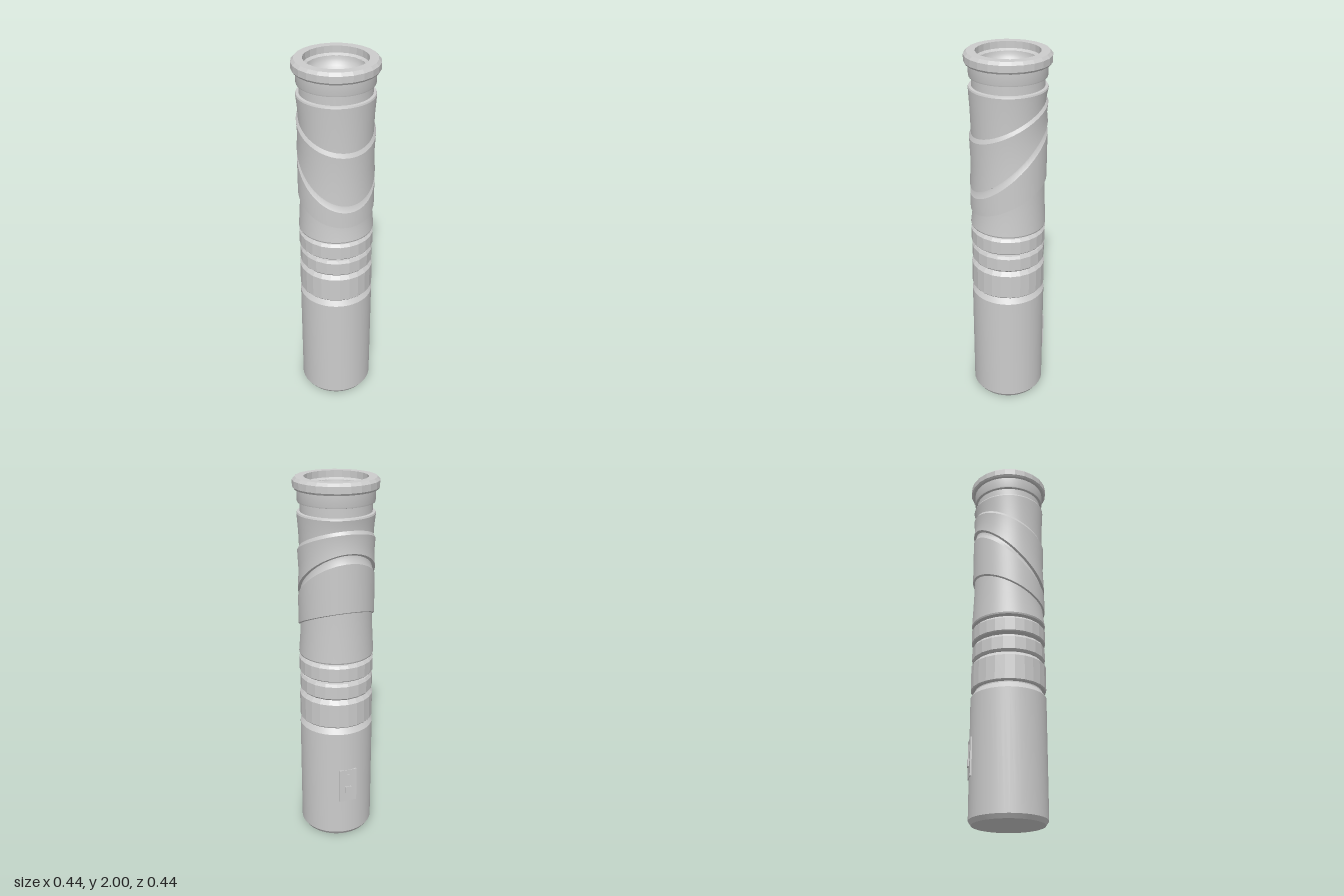
import * as THREE from 'three';
import { toCreasedNormals } from 'three/addons/utils/BufferGeometryUtils.js';

const smoothMat = new THREE.MeshStandardMaterial({ color: 0xcccccc });
const flatMat = new THREE.MeshStandardMaterial({ color: 0xcccccc, flatShading: true });

export function createModel() {
  const model = new THREE.Group();
  model.name = 'hilt';

  function add(name, geometry, material = smoothMat) {
    const mesh = new THREE.Mesh(geometry, material);
    mesh.name = name;
    model.add(mesh);
    return mesh;
  }

  // Turned part from [radius, height] pairs, bottom to top on the outside
  function turned(name, profile, sides = 48, faceted = false) {
    const lathe = new THREE.LatheGeometry(profile.map(([r, y]) => new THREE.Vector2(r, y)), sides);
    add(name, faceted ? lathe : toCreasedNormals(lathe, 0.4), faceted ? flatMat : smoothMat);
  }

  // Turned part whose rows are tilted: [radius, height at front, height at back]
  function tilted(name, rows, sides = 64) {
    const points = rows.map(([r, front, back]) => new THREE.Vector2(r, (front + back) / 2));
    const geometry = new THREE.LatheGeometry(points, sides);
    const pos = geometry.attributes.position;
    for (let i = 0; i < pos.count; i++) {
      const [r, front, back] = rows[i % rows.length];
      pos.setY(i, pos.getY(i) + (pos.getZ(i) / r) * (front - back) / 2);
    }
    add(name, toCreasedNormals(geometry, 0.4));
  }

  // Lower half: plain handle with chamfered ends
  turned('handle', [
    [0, 0], [0.185, 0], [0.2, 0.022], [0.2, 0.655], [0.178, 0.688], [0.178, 0.7],
  ]);

  // Stack of rings separated by narrow grooves
  turned('lowerRing', [
    [0.17, 0.694], [0.195, 0.694], [0.2, 0.7], [0.2, 0.832], [0.18, 0.856], [0.145, 0.86],
  ], 24, true);
  turned('middleRing', [
    [0.145, 0.858], [0.188, 0.858], [0.197, 0.868], [0.197, 0.936], [0.188, 0.951], [0.145, 0.954],
  ], 20, true);
  turned('upperRing', [
    [0.145, 0.966], [0.195, 0.966], [0.2, 0.972], [0.2, 1.042], [0.188, 1.056], [0.145, 1.068],
  ], 24, true);
  turned('core', [[0.146, 0.84], [0.146, 1.08]]);

  // Sculpted grip: overlapping sleeves with slanted edges
  tilted('grip', [
    [0.145, 1.068, 1.068], [0.197, 1.068, 1.068], [0.2, 1.076, 1.076],
    [0.192, 1.13, 1.25], [0.19, 1.16, 1.345],
    [0.2, 1.162, 1.352], [0.2, 1.25, 1.605],
    [0.188, 1.275, 1.63], [0.186, 1.288, 1.645],
    [0.2, 1.29, 1.655], [0.195, 1.43, 1.7], [0.2, 1.56, 1.752],
    [0.19, 1.582, 1.768], [0.193, 1.7, 1.79],
    [0.2, 1.82, 1.82], [0.197, 1.828, 1.828], [0.183, 1.83, 1.83],
  ]);

  // Neck and collar below the mouth
  turned('neck', [
    [0.183, 1.825], [0.183, 1.875], [0.195, 1.878], [0.197, 1.885], [0.197, 1.945],
  ]);

  // Faceted rim with a stepped opening
  turned('rim', [
    [0.19, 1.942], [0.212, 1.942], [0.219, 1.952], [0.219, 1.985], [0.205, 2],
    [0.162, 2], [0.162, 1.965], [0.148, 1.955],
  ], 24, true);

  // Concave bowl inside the mouth
  const bowl = [];
  for (let i = 0; i <= 10; i++) {
    const a = (i / 10) * Math.PI / 2;
    bowl.push([0.148 * Math.cos(a), 1.956 - 0.1 * Math.sin(a)]);
  }
  turned('bowl', bowl);

  // Small switch on the back of the handle
  function box(name, w, h, d, y, z) {
    add(name, new THREE.BoxGeometry(w, h, d)).position.set(0, y, z);
  }
  box('switchPlate', 0.1, 0.2, 0.02, 0.33, -0.192);
  box('switchBar', 0.014, 0.11, 0.012, 0.345, -0.2);
  box('switchButton', 0.034, 0.04, 0.02, 0.305, -0.2);

  return model;
}
